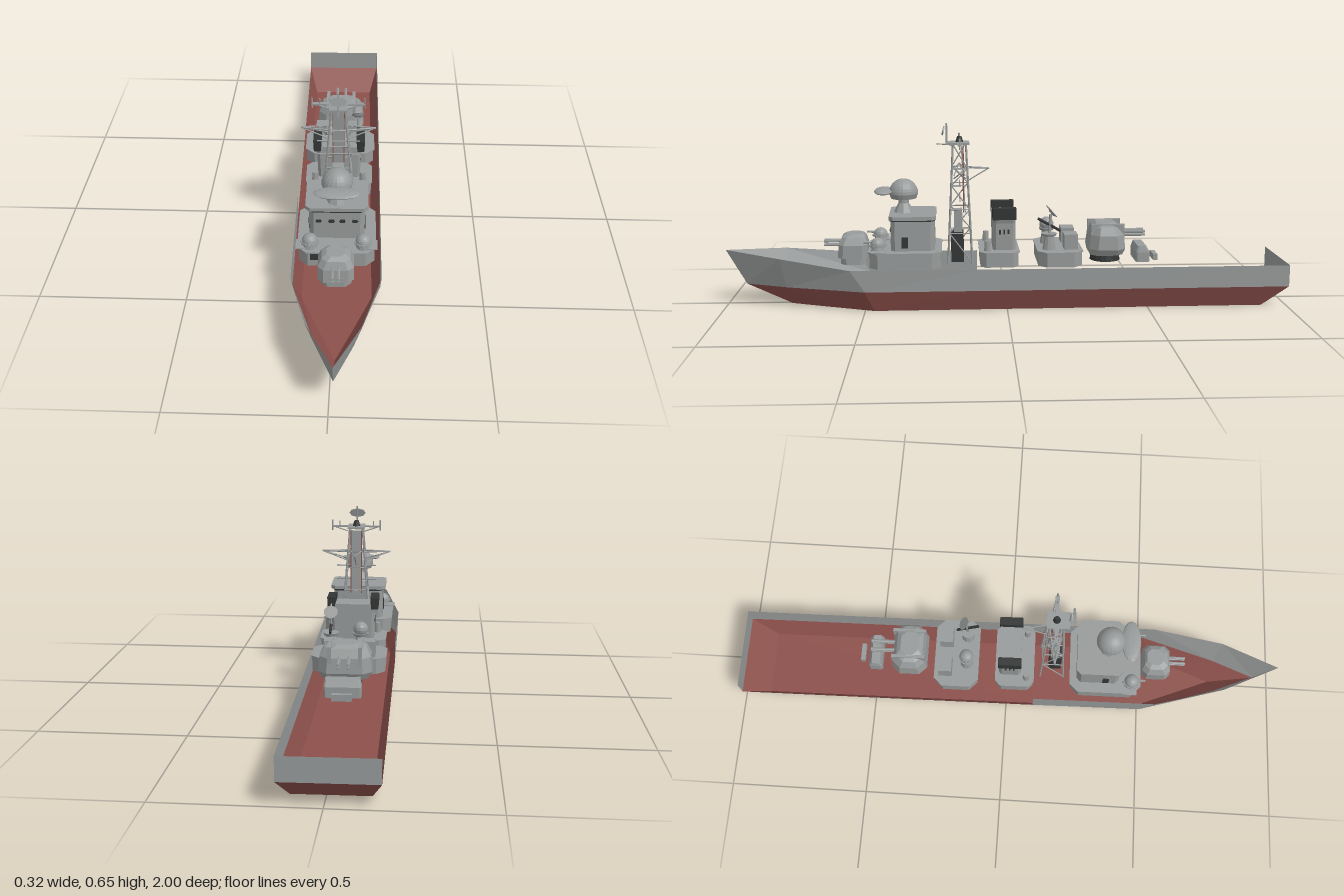
import * as THREE from 'three';

const mat = (name, color, double) => {
  const m = new THREE.MeshStandardMaterial({ color, flatShading: true });
  m.name = name;
  if (double) m.side = THREE.DoubleSide;
  return m;
};

export function createModel() {
  const grey = mat('shipGrey', 0x989b9b, true);
  const red = mat('hullRed', 0x8c504b, true);
  const dark = mat('darkGrey', 0x343636, true);

  const ship = new THREE.Group();
  ship.name = 'ship';
  const add = (name, geo, m, x = 0, y = 0, z = 0, parent = ship) => {
    const mesh = new THREE.Mesh(geo, m);
    mesh.name = name;
    mesh.position.set(x, y, z);
    parent.add(mesh);
    return mesh;
  };
  const box = (name, w, h, d, m, x, y, z) => add(name, new THREE.BoxGeometry(w, h, d), m, x, y, z);
  const cyl = (name, rt, rb, h, m, x, y, z, n = 12) =>
    add(name, new THREE.CylinderGeometry(rt, rb, h, n), m, x, y, z);
  // thin rod between two points
  const rod = (name, a, b, r = 0.0022, m = grey) => {
    const p = new THREE.Vector3(...a), q = new THREE.Vector3(...b);
    const d = q.clone().sub(p);
    const mesh = add(name, new THREE.CylinderGeometry(r, r, d.length(), 6), m);
    mesh.position.copy(p).add(q).multiplyScalar(0.5);
    mesh.quaternion.setFromUnitVectors(new THREE.Vector3(0, 1, 0), d.normalize());
    return mesh;
  };
  const fromTriangles = (pts) => {
    const g = new THREE.BufferGeometry();
    g.setAttribute('position', new THREE.Float32BufferAttribute(pts.flat(), 3));
    g.computeVertexNormals();
    return g;
  };
  // stacked chamfered rectangles, each [y, halfWidth, zBack, zFront, chamfer]
  const loft = (name, sections, m, x = 0) => {
    const rings = sections.map(([y, w, b, f, c]) => [[w, b + c], [w, f - c], [w - c, f], [c - w, f],
      [-w, f - c], [-w, b + c], [c - w, b], [w - c, b]].map(([px, pz]) => [px, y, pz]));
    const t = [];
    for (let s = 0; s + 1 < rings.length; s++) {
      for (let i = 0; i < 8; i++) {
        const j = (i + 1) % 8, A = rings[s], B = rings[s + 1];
        t.push(A[i], B[i], A[j], B[i], B[j], A[j]);
      }
    }
    const lo = rings[0], hi = rings[rings.length - 1];
    for (let k = 1; k < 7; k++) t.push(hi[0], hi[k + 1], hi[k], lo[0], lo[k], lo[k + 1]);
    return add(name, fromTriangles(t), m, x);
  };

  // open hull shell: three edge lines of [halfWidth, y, z] from stern to bow
  const rail = [[0.148, 0.152, -1], [0.148, 0.152, 0.1], [0.148, 0.153, 0.55], [0.09, 0.185, 0.8], [0, 0.2, 1]];
  const chine = [[0.148, 0.075, -1], [0.148, 0.075, 0.1], [0.146, 0.075, 0.5], [0.06, 0.075, 0.78], [0, 0.075, 0.93]];
  const keel = [[0.118, 0, -0.91], [0.118, 0, 0.1], [0.118, 0, 0.47], [0.06, 0, 0.62], [0, 0, 0.77]];
  const flip = (line) => line.map(([x, y, z]) => [-x, y, z]);
  const strip = (name, a, b, m) => {
    const t = [];
    for (let i = 0; i + 1 < a.length; i++) t.push(a[i], b[i], a[i + 1], b[i], b[i + 1], a[i + 1]);
    add(name, fromTriangles(t), m);
  };
  strip('leftTopside', chine, rail, grey);
  strip('rightTopside', flip(rail).slice(1), flip(chine).slice(1), grey); // aft right panel is open
  strip('leftLowerHull', keel, chine, red);
  strip('rightLowerHull', flip(chine), flip(keel), red);
  strip('hullBottom', flip(keel), keel, red);
  strip('transom', [rail[0], flip(rail)[0]], [chine[0], flip(chine)[0]], grey);
  strip('lowerTransom', [chine[0], flip(chine)[0]], [keel[0], flip(keel)[0]], red);

  // forward gun
  loft('forwardGunBase', [[0.15, 0.05, 0.5, 0.59, 0.02], [0.175, 0.05, 0.5, 0.59, 0.02]], grey);
  loft('forwardGunHouse', [[0.175, 0.058, 0.495, 0.6, 0.018], [0.222, 0.058, 0.495, 0.596, 0.018],
    [0.248, 0.046, 0.502, 0.585, 0.018], [0.258, 0.03, 0.51, 0.57, 0.015]], grey);
  for (const x of [-0.01, 0.01]) for (const y of [0.216, 0.23])
    rod('forwardGunBarrel', [x, y, 0.58], [x, y, 0.65], 0.0045);

  // bridge
  loft('bridgeBase', [[0.15, 0.125, 0.235, 0.485, 0.03], [0.203, 0.125, 0.235, 0.485, 0.03]], grey);
  loft('bridgeDeckEdge', [[0.203, 0.13, 0.23, 0.49, 0.03], [0.208, 0.13, 0.23, 0.49, 0.03]], grey);
  loft('bridgeHouse', [[0.208, 0.092, 0.255, 0.41, 0.015], [0.318, 0.092, 0.255, 0.41, 0.015]], grey);
  loft('bridgeRoofBand', [[0.313, 0.094, 0.253, 0.412, 0.015], [0.319, 0.094, 0.253, 0.412, 0.015]], dark);
  loft('bridgeRoof', [[0.319, 0.104, 0.25, 0.415, 0.015], [0.332, 0.104, 0.25, 0.415, 0.015]], grey);
  for (const x of [-0.06, -0.018, 0.018, 0.06]) {
    box('bridgeWindow', 0.016, 0.012, 0.003, dark, x, 0.278, 0.411);
    box('windowBar', 0.022, 0.002, 0.005, dark, x, 0.278, 0.411);
  }
  box('bridgeGrille', 0.034, 0.024, 0.004, dark, -0.07, 0.188, 0.486);
  for (const s of [-1, 1]) box('bridgeSideDoor', 0.004, 0.04, 0.022, dark, s * 0.093, 0.238, 0.36);

  // radar dome with paddle antenna
  cyl('domePedestal', 0.018, 0.036, 0.035, grey, 0, 0.349, 0.365, 8);
  cyl('domeNeck', 0.018, 0.018, 0.025, grey, 0, 0.375, 0.365, 10);
  add('radarDome', new THREE.SphereGeometry(0.052, 20, 8, 0, Math.PI * 2, 0, Math.PI / 2), grey, 0, 0.4, 0.365);
  cyl('radarDomeSkirt', 0.052, 0.045, 0.018, grey, 0, 0.391, 0.365, 20);
  add('radarPaddle', new THREE.SphereGeometry(1, 16, 8), grey, 0, 0.408, 0.435).scale.set(0.076, 0.01, 0.034);

  // small side guns
  for (const s of [-1, 1]) {
    const x = s * 0.088;
    cyl('sideGunMount', 0.02, 0.024, 0.022, grey, x, 0.217, 0.455);
    cyl('sideGunRing', 0.03, 0.03, 0.006, grey, x, 0.229, 0.455);
    add('sideGunDome', new THREE.SphereGeometry(0.026, 14, 6, 0, Math.PI * 2, 0, Math.PI / 2), grey, x, 0.231, 0.455);
    rod('sideGunBarrel', [x, 0.24, 0.47], [x, 0.242, 0.505], 0.004);
    box('sideGunPlatform', 0.05, 0.003, 0.05, grey, s * 0.11, 0.212, 0.45);
  }

  // lattice mast: four leaning legs, rings and cross braces
  const leg = (sx, sz, y) => {
    const t = (y - 0.155) / 0.42;
    return [sx * (0.056 - 0.033 * t), y, 0.165 + sz * (0.043 - 0.02 * t)];
  };
  const corners = [[1, 1], [-1, 1], [-1, -1], [1, -1]];
  const levels = [0.155, 0.26, 0.345, 0.43, 0.49, 0.575];
  corners.forEach(([sx, sz], i) => {
    const [nx, nz] = corners[(i + 1) % 4];
    rod('mastLeg', leg(sx, sz, 0.15), leg(sx, sz, 0.575), 0.0035);
    levels.slice(1).forEach((y, k) => {
      rod('mastRing', leg(sx, sz, y), leg(nx, nz, y));
      const up = k % 2 ? [[nx, nz], [sx, sz]] : [[sx, sz], [nx, nz]];
      if (i % 2) rod('mastBrace', leg(...up[0], levels[k]), leg(...up[1], y));
    });
  });
  const panel = box('mastLadderPanel', 0.036, 0.235, 0.004, grey, 0, 0.448, 0.152);
  panel.rotation.x = 0.05;
  for (const s of [-1, 1]) box('mastRedStrip', 0.003, 0.235, 0.004, red, s * 0.0195, 0.448, 0.152);
  box('mastCabinet', 0.05, 0.11, 0.045, dark, 0, 0.205, 0.175);
  box('mastEquipmentBox', 0.04, 0.08, 0.03, grey, 0, 0.3, 0.172);
  for (const s of [-1, 1]) {
    rod('lowerYard', [0, 0.381, 0.165], [s * 0.073, 0.381, 0.165]);
    rod('middleYard', [0, 0.433, 0.165], [s * 0.073, 0.433, 0.165]);
    for (const z of [0.145, 0.185]) {
      rod('mainYard', [0, 0.487, z], [s * 0.126, 0.487, 0.165], 0.003);
      rod('yardBrace', [s * 0.03, 0.455, z], [s * 0.126, 0.487, 0.165]);
    }
    rod('topYardBrace', [s * 0.025, 0.56, 0.165], [s * 0.085, 0.58, 0.165]);
    box('topYard', 0.07, 0.005, 0.014, grey, s * 0.055, 0.58, 0.165);
    rod('yardPost', [s * 0.088, 0.565, 0.165], [s * 0.088, 0.603, 0.165], 0.003);
    rod('yardPost', [s * 0.062, 0.578, 0.165], [s * 0.062, 0.6, 0.165]);
    rod('aftSpar', [s * 0.02, 0.49, 0.145], [0, 0.488, 0.06]);
  }
  rod('aftSparBrace', [0, 0.44, 0.14], [0, 0.488, 0.06]);
  rod('forwardSpar', [0, 0.57, 0.18], [0, 0.575, 0.245]);
  box('mastPlatform', 0.062, 0.007, 0.08, grey, 0, 0.578, 0.17);
  cyl('radarTurntable', 0.008, 0.014, 0.02, dark, 0, 0.591, 0.165, 8);
  rod('radarStem', [0, 0.575, 0.21], [0, 0.648, 0.21], 0.003);
  const plate = cyl('searchRadar', 0.03, 0.03, 0.005, grey, 0, 0.621, 0.222, 8);
  plate.rotation.set(Math.PI / 2 - 0.25, 0, 0);
  plate.scale.z = 0.55;

  // funnel
  loft('funnelBase', [[0.15, 0.115, -0.04, 0.095, 0.02], [0.2, 0.115, -0.04, 0.095, 0.02]], grey);
  loft('funnelDeckEdge', [[0.2, 0.119, -0.044, 0.099, 0.02], [0.204, 0.119, -0.044, 0.099, 0.02]], grey);
  loft('funnelBody', [[0.204, 0.075, -0.03, 0.05, 0.01], [0.3, 0.078, -0.03, 0.05, 0.01],
    [0.332, 0.088, -0.03, 0.05, 0.01]], grey);
  for (const s of [-1, 1]) {
    loft('funnelExhaust', [[0.315, 0.013, -0.032, 0.052, 0.003], [0.356, 0.015, -0.032, 0.052, 0.003]], dark, s * 0.077);
    for (const z of [-0.005, 0.01, 0.025]) box('funnelVent', 0.004, 0.016, 0.006, dark, s * 0.077, 0.27, z);
    cyl('deckVent', 0.01, 0.012, 0.04, grey, s * 0.085, 0.22, 0.07, 8);
  }

  // aft deckhouse with directors
  loft('aftHouse', [[0.15, 0.125, -0.265, -0.11, 0.03], [0.2, 0.125, -0.265, -0.11, 0.03]], grey);
  loft('aftDeckEdge', [[0.2, 0.129, -0.269, -0.106, 0.03], [0.204, 0.129, -0.269, -0.106, 0.03]], grey);
  for (const x of [-0.06, 0.053]) box('aftLocker', 0.062, 0.055, 0.048, grey, x, 0.231, -0.227);
  for (const x of [-0.036, 0.067]) {
    cyl('directorPedestal', 0.016, 0.024, 0.05, grey, x, 0.229, -0.15, 10);
    cyl('directorCollar', 0.028, 0.024, 0.01, grey, x, 0.257, -0.15, 10);
  }
  add('directorDome', new THREE.SphereGeometry(0.026, 12, 8), grey, -0.036, 0.275, -0.15);
  rod('dishMast', [0.067, 0.26, -0.15], [0.067, 0.33, -0.155], 0.005);
  const dish = cyl('directorDish', 0.025, 0.012, 0.008, grey, 0.067, 0.335, -0.16, 10);
  dish.rotation.x = -0.85;
  rod('dishFeed', [0.067, 0.335, -0.16], [0.067, 0.362, -0.14]);
  rod('dishBar', [0.067, 0.27, -0.19], [0.067, 0.315, -0.11], 0.005, dark);

  // aft gun, pointing astern
  cyl('aftGunBase', 0.05, 0.055, 0.03, dark, 0, 0.165, -0.36, 16);
  loft('aftGunHouse', [[0.178, 0.076, -0.415, -0.3, 0.022], [0.2, 0.088, -0.425, -0.296, 0.028],
    [0.25, 0.084, -0.42, -0.302, 0.028], [0.278, 0.07, -0.405, -0.31, 0.025], [0.29, 0.045, -0.39, -0.325, 0.02]], grey);
  for (const s of [-1, 1]) {
    box('aftGunRib', 0.012, 0.1, 0.12, grey, s * 0.05, 0.238, -0.362);
    for (const y of [0.242, 0.254]) rod('aftGunBarrel', [s * 0.016, y, -0.4], [s * 0.016, y, -0.502], 0.0055);
  }
  loft('sternLocker', [[0.15, 0.06, -0.515, -0.465, 0.005], [0.185, 0.06, -0.515, -0.465, 0.005],
    [0.207, 0.056, -0.503, -0.472, 0.005]], grey);
  box('sternBollard', 0.064, 0.022, 0.016, grey, 0, 0.161, -0.54);

  // the hull lies slightly askew to the centreline
  ship.rotation.y = 0.0138;
  const model = new THREE.Group();
  model.name = 'warship';
  model.add(ship);
  return model;
}
